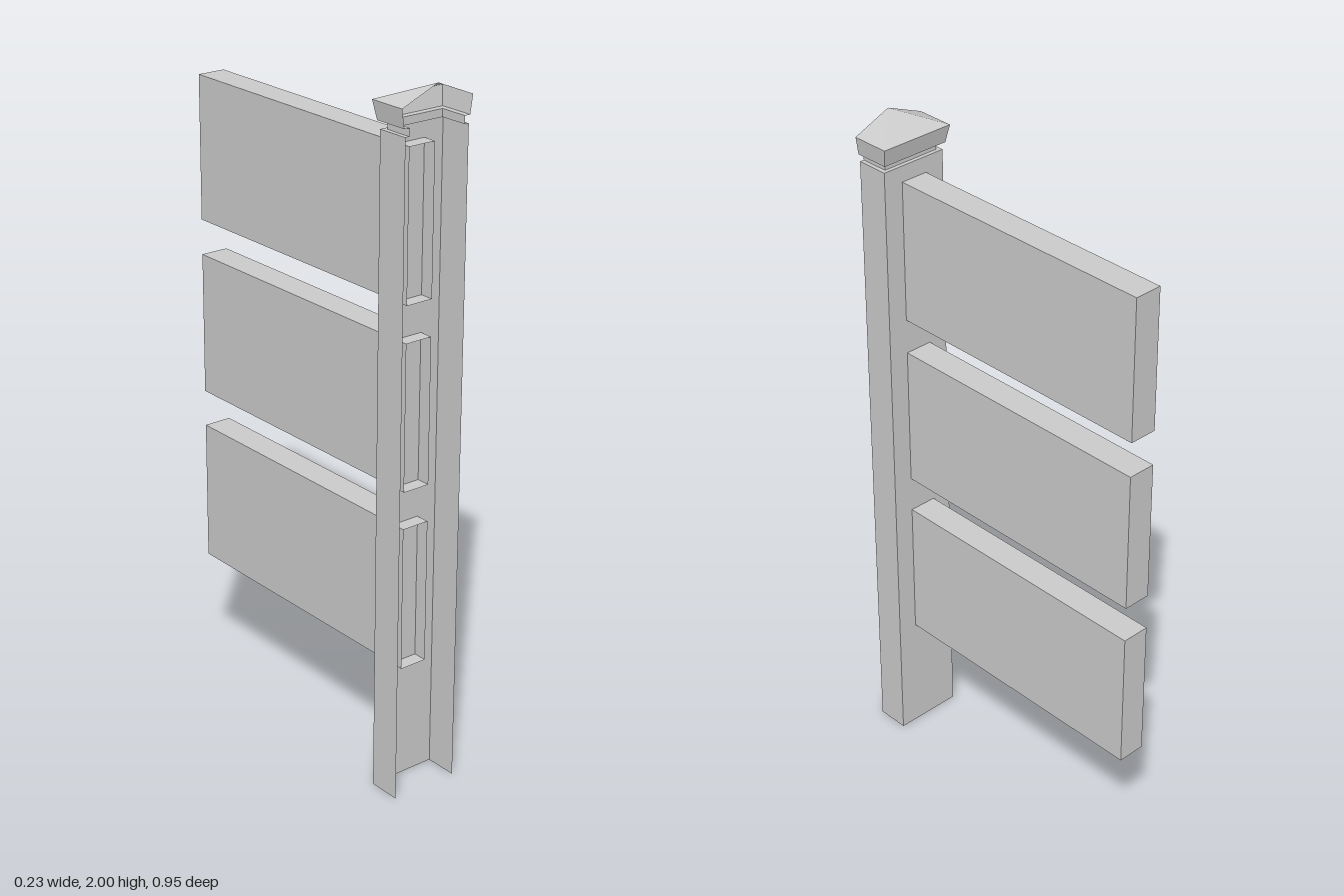
import * as THREE from 'three';

const FRONT = 0.476; // z of the open front of the post
const material = new THREE.MeshStandardMaterial({ color: 0xcccccc, flatShading: true, side: THREE.DoubleSide });

function addMesh(group, name, geometry) {
  const mesh = new THREE.Mesh(geometry, material);
  mesh.name = name;
  group.add(mesh);
  return mesh;
}

// Three-sided shell, open at the front, lofted through levels of [y, halfWidth, depth]
function channelShell(levels) {
  const positions = [];
  const ring = ([y, w, d]) => [
    [w, y, FRONT], [w, y, FRONT - d], [-w, y, FRONT - d], [-w, y, FRONT],
  ];
  for (let i = 0; i < levels.length - 1; i++) {
    const low = ring(levels[i]);
    const high = ring(levels[i + 1]);
    for (let k = 0; k < 3; k++) {
      positions.push(...low[k], ...low[k + 1], ...high[k + 1]);
      // no second triangle where the shell closes to a point
      if (levels[i + 1][1] > 0) positions.push(...low[k], ...high[k + 1], ...high[k]);
    }
  }
  const geometry = new THREE.BufferGeometry();
  geometry.setAttribute('position', new THREE.Float32BufferAttribute(positions, 3));
  geometry.computeVertexNormals();
  return geometry;
}

// Box whose front (+z) end is left open
function openBox(width, height, length) {
  const geometry = new THREE.BoxGeometry(width, height, length);
  const index = Array.from(geometry.index.array);
  index.splice(24, 6);
  geometry.setIndex(index);
  geometry.clearGroups();
  return geometry;
}

export function createModel() {
  const model = new THREE.Group();
  model.name = 'fencePostWithRails';

  // Half post with a small ledge at its top
  addMesh(model, 'post', channelShell([
    [0, 0.103, 0.097], [1.879, 0.103, 0.097], [1.879, 0.09, 0.085],
  ]));

  // Recessed neck, flared cap and half-pyramid roof
  addMesh(model, 'capNeck', channelShell([[1.879, 0.09, 0.085], [1.901, 0.09, 0.085]]));
  addMesh(model, 'postCap', channelShell([
    [1.901, 0.09, 0.085], [1.901, 0.107, 0.104], [1.953, 0.115, 0.115], [2, 0, 0],
  ]));

  // Three hollow rails, their open ends reaching just inside the post
  const railBack = -0.476, railFront = 0.42;
  [0.57, 1.098, 1.622].forEach((y, i) => {
    const rail = addMesh(model, `rail${i + 1}`, openBox(0.084, 0.42, railFront - railBack));
    rail.position.set(0, y, (railFront + railBack) / 2);
  });

  return model;
}
